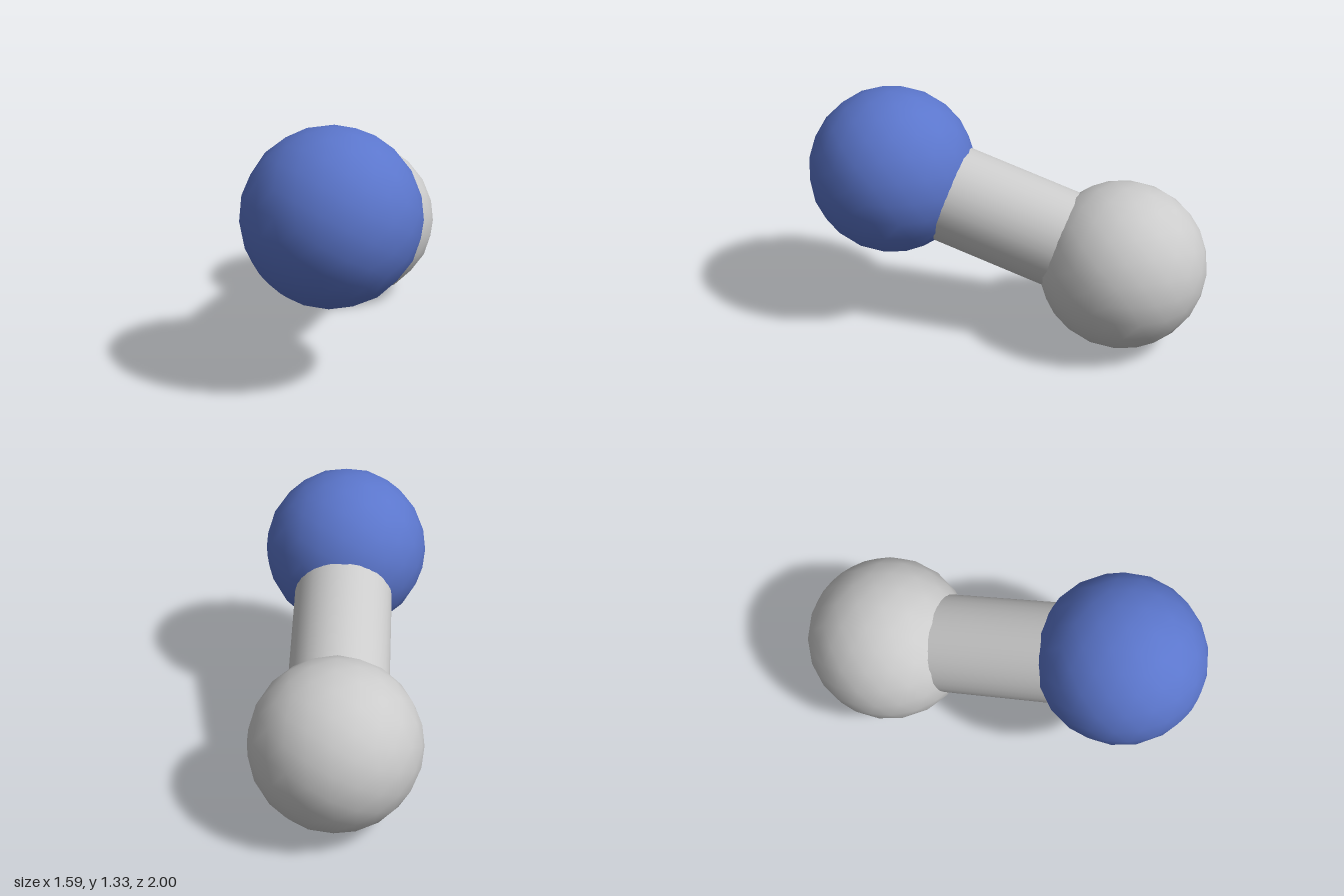
import * as THREE from 'three';

export function createModel() {
  const group = new THREE.Group();
  const grey = new THREE.MeshStandardMaterial({ color: 0xcccccc });
  const blue = new THREE.MeshStandardMaterial({ color: 0x5b76cc });

  const radius = 0.455;
  const front = new THREE.Vector3(-0.34, 0.875, 0.545);
  const back = new THREE.Vector3(0.34, 0.455, -0.545);

  // Two coarse, smooth-shaded balls
  const ballGeometry = new THREE.IcosahedronGeometry(radius, 3);
  const addBall = (name, position, material) => {
    const ball = new THREE.Mesh(ballGeometry, material);
    ball.name = name;
    ball.position.copy(position);
    group.add(ball);
  };
  addBall('blueBall', front, blue);
  addBall('greyBall', back, grey);

  // Rod joining the ball centres
  const axis = front.clone().sub(back);
  const rod = new THREE.Mesh(
    new THREE.CylinderGeometry(0.27, 0.27, axis.length() - 0.5, 32),
    grey
  );
  rod.name = 'connectingRod';
  rod.position.addVectors(front, back).multiplyScalar(0.5);
  rod.quaternion.setFromUnitVectors(new THREE.Vector3(0, 1, 0), axis.normalize());
  group.add(rod);

  return group;
}
